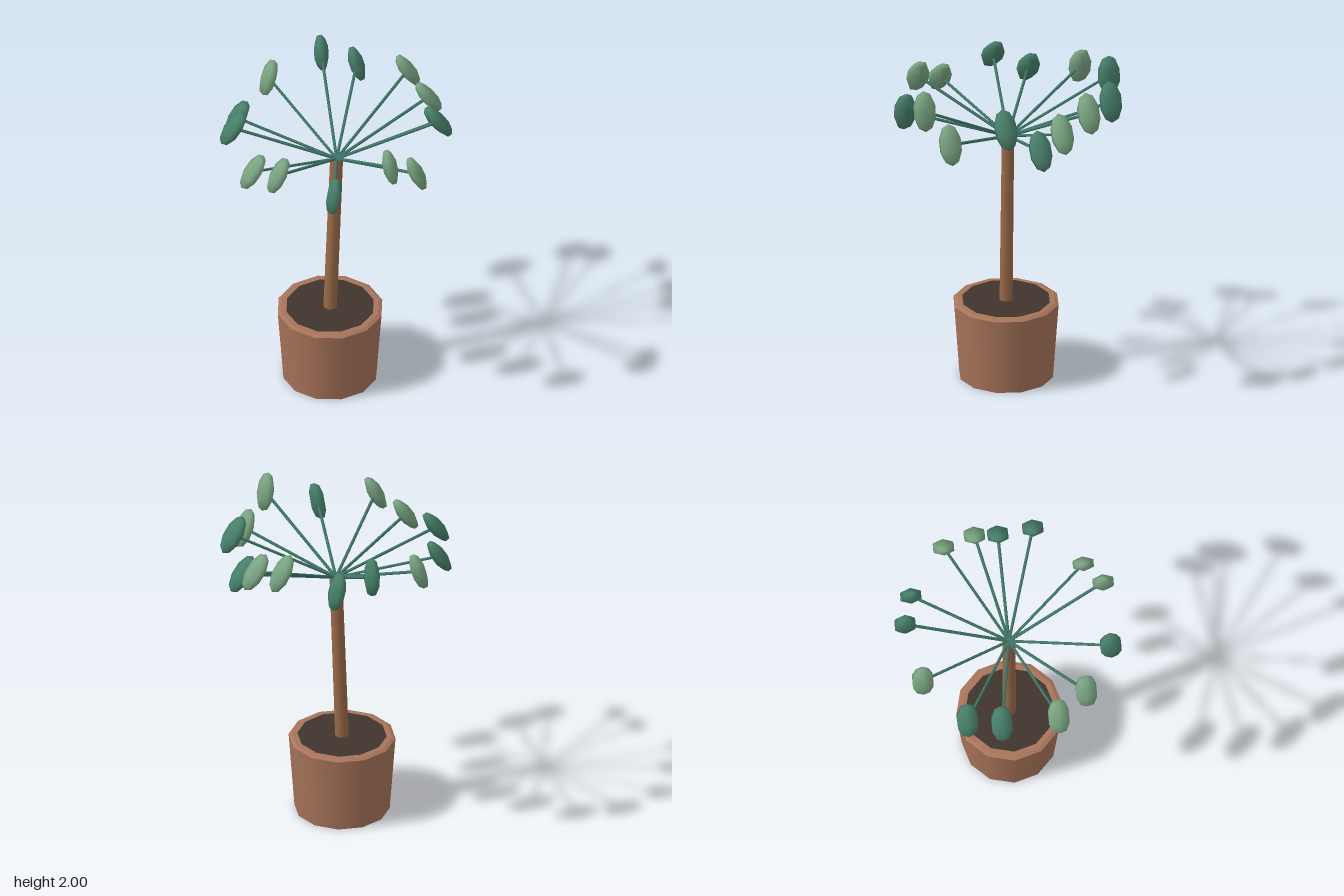
import * as THREE from 'three';

const mat = (color) => new THREE.MeshStandardMaterial({ color });

export function createModel() {
  const plant = new THREE.Group();
  plant.name = 'pottedPlant';

  const clay = mat(0xa8745a);
  const soilMat = mat(0x40352e);
  const bark = mat(0x9c6b49);
  const stemMat = mat(0x41786a);
  const darkLeaf = mat(0x47806b);
  const lightLeaf = mat(0x7aa582);

  const add = (name, geometry, material, x, y, z, parent = plant) => {
    const mesh = new THREE.Mesh(geometry, material);
    mesh.name = name;
    mesh.position.set(x, y, z);
    parent.add(mesh);
    return mesh;
  };

  // Round rod between two points
  const rod = (name, a, b, rTop, rBottom, sides, material, parent) => {
    const dir = b.clone().sub(a);
    const mid = a.clone().add(b).multiplyScalar(0.5);
    const geometry = new THREE.CylinderGeometry(rTop, rBottom, dir.length(), sides);
    const mesh = add(name, geometry, material, mid.x, mid.y, mid.z, parent);
    mesh.quaternion.setFromUnitVectors(new THREE.Vector3(0, 1, 0), dir.normalize());
    return mesh;
  };

  // Twelve-sided tapered pot with a small bevelled rim
  const px = -0.045, pz = 0.004;
  add('pot', new THREE.CylinderGeometry(0.314, 0.28, 0.47, 12), clay, px, 0.235, pz);
  add('potRim', new THREE.CylinderGeometry(0.293, 0.314, 0.01, 12), clay, px, 0.475, pz);
  const soil = add('soil', new THREE.CircleGeometry(0.262, 12), soilMat, px, 0.481, pz);
  soil.rotation.x = -Math.PI / 2;

  // Slightly leaning trunk
  const crown = new THREE.Vector3(-0.006, 1.555, 0.005);
  rod('trunk', new THREE.Vector3(px, 0.46, pz), crown, 0.038, 0.04, 10, bark);

  // Leaf centres: x, y, z, and whether the leaf is the light green
  const leaves = [
    [0.045, 1.875, -0.6, 0], [0.245, 1.8, -0.545, 0], [0.5, 1.87, -0.325, 1],
    [0.58, 1.8, -0.135, 1], [0.6, 1.72, 0.005, 0], [0.563, 1.87, 0.207, 0],
    [0.362, 1.725, 0.482, 1], [0.18, 1.875, 0.58, 1], [-0.16, 1.725, 0.588, 0],
    [-0.453, 1.8, 0.412, 1], [-0.565, 1.72, 0.238, 1], [-0.603, 1.8, -0.1, 0],
    [-0.533, 1.72, -0.295, 0], [-0.288, 1.8, -0.532, 1],
  ];
  const leafGeometry = new THREE.SphereGeometry(1, 6, 5).scale(0.045, 0.125, 0.073);
  const stemStart = crown.clone().setY(1.55);

  leaves.forEach(([x, y, z, light], i) => {
    const branch = new THREE.Group();
    branch.name = `branch${i + 1}`;
    plant.add(branch);
    rod('stem', stemStart, new THREE.Vector3(x, y, z), 0.009, 0.009, 6, stemMat, branch);
    // Each leaf leans its tip towards the middle, more so at the sides
    const leaf = add('leaf', leafGeometry, light ? lightLeaf : darkLeaf, x, y, z, branch);
    leaf.rotation.z = 0.62 * (x / Math.hypot(x, z));
  });

  return plant;
}
